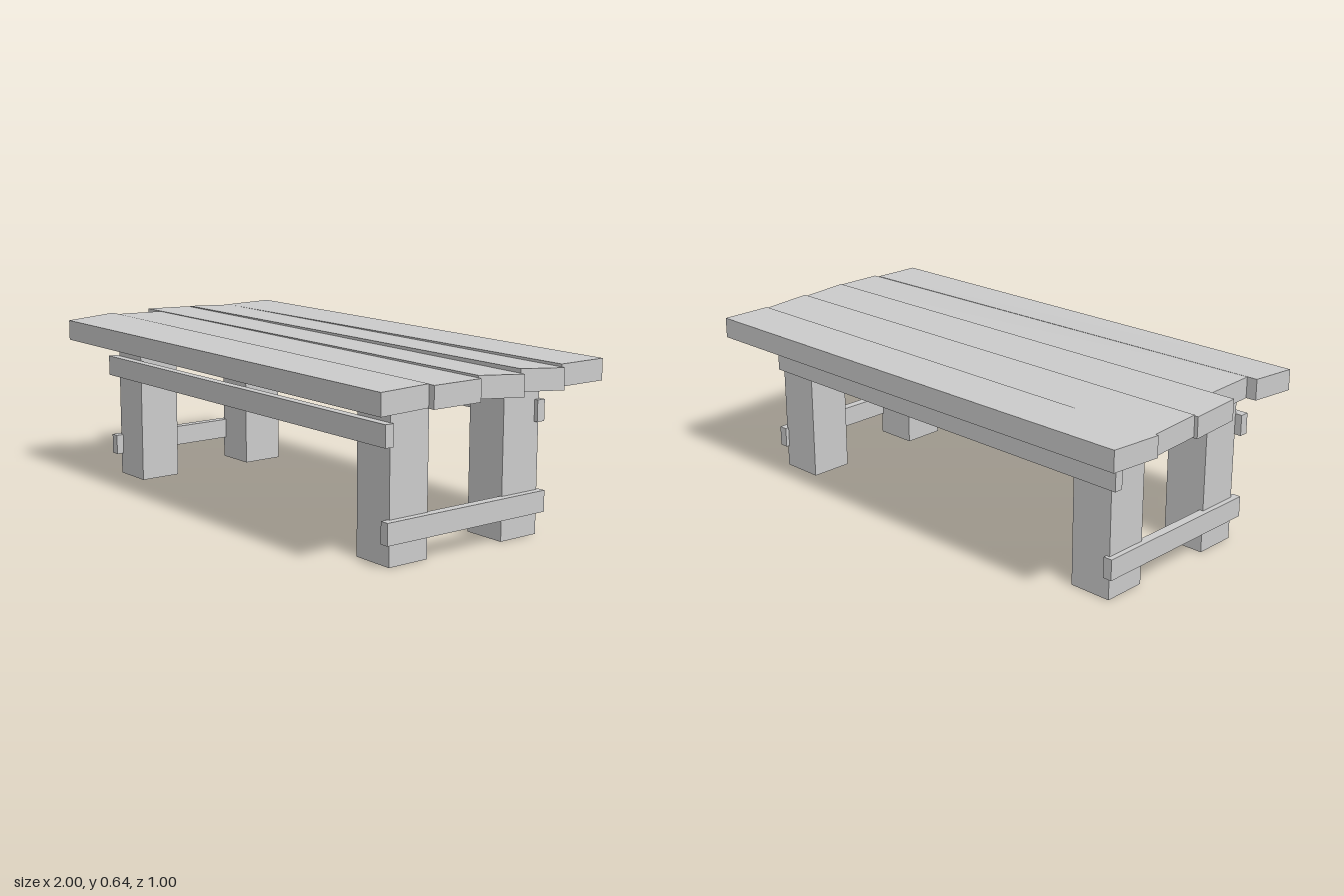
import * as THREE from 'three';

export function createModel() {
  const table = new THREE.Group();
  table.name = 'plankTable';
  const wood = new THREE.MeshStandardMaterial({ color: 0xcccccc, flatShading: true });

  // Box given by its extents on each axis
  function beam(name, [x0, x1], [y0, y1], [z0, z1]) {
    const mesh = new THREE.Mesh(new THREE.BoxGeometry(x1 - x0, y1 - y0, z1 - z0), wood);
    mesh.position.set((x0 + x1) / 2, (y0 + y1) / 2, (z0 + z1) / 2);
    mesh.name = name;
    table.add(mesh);
  }

  // Slightly warped board: each end has its own x and top height at the front and back edge
  const thickness = 0.077, width = 0.2;
  function plank(name, zFront, left, right) {
    const geo = new THREE.BoxGeometry(1, 1, 1);
    const p = geo.attributes.position;
    for (let i = 0; i < p.count; i++) {
      const end = p.getX(i) < 0 ? left : right;
      const edge = p.getZ(i) > 0 ? 0 : 1;
      const y = end.top[edge] - (p.getY(i) < 0 ? thickness : 0);
      p.setXYZ(i, end.x[edge], y, zFront - edge * width);
    }
    geo.computeVertexNormals();
    const mesh = new THREE.Mesh(geo, wood);
    mesh.name = name;
    table.add(mesh);
  }

  // Table top, front to back
  const boards = [
    [{ x: [-0.945, -0.945], top: [0.626, 0.64] }, { x: [0.98, 0.973], top: [0.619, 0.623] }],
    [{ x: [-0.905, -0.905], top: [0.639, 0.634] }, { x: [0.998, 0.998], top: [0.621, 0.621] }],
    [{ x: [-0.995, -1.0], top: [0.636, 0.629] }, { x: [0.984, 0.992], top: [0.629, 0.613] }],
    [{ x: [-0.986, -0.986], top: [0.632, 0.622] }, { x: [0.972, 0.979], top: [0.628, 0.612] }],
    [{ x: [-0.998, -0.986], top: [0.622, 0.627] }, { x: [0.964, 0.964], top: [0.622, 0.622] }],
  ];
  boards.forEach(([left, right], i) => plank(`topPlank${i + 1}`, 0.5 - i * width, left, right));

  // Four square legs
  for (const [side, xs] of [['right', [-0.843, -0.68]], ['left', [0.665, 0.83]]]) {
    beam(`${side}FrontLeg`, xs, [0, 0.56], [0.17, 0.334]);
    beam(`${side}BackLeg`, xs, [0, 0.56], [-0.334, -0.168]);
  }

  // Long rails under the top, short rails across the ends
  beam('frontRail', [-0.87, 0.845], [0.403, 0.48], [0.332, 0.366]);
  beam('backRail', [-0.87, 0.845], [0.403, 0.48], [-0.348, -0.314]);
  beam('rightEndRail', [-0.863, -0.829], [0.083, 0.16], [-0.348, 0.363]);
  beam('leftEndRail', [0.822, 0.856], [0.083, 0.16], [-0.348, 0.363]);

  return table;
}
